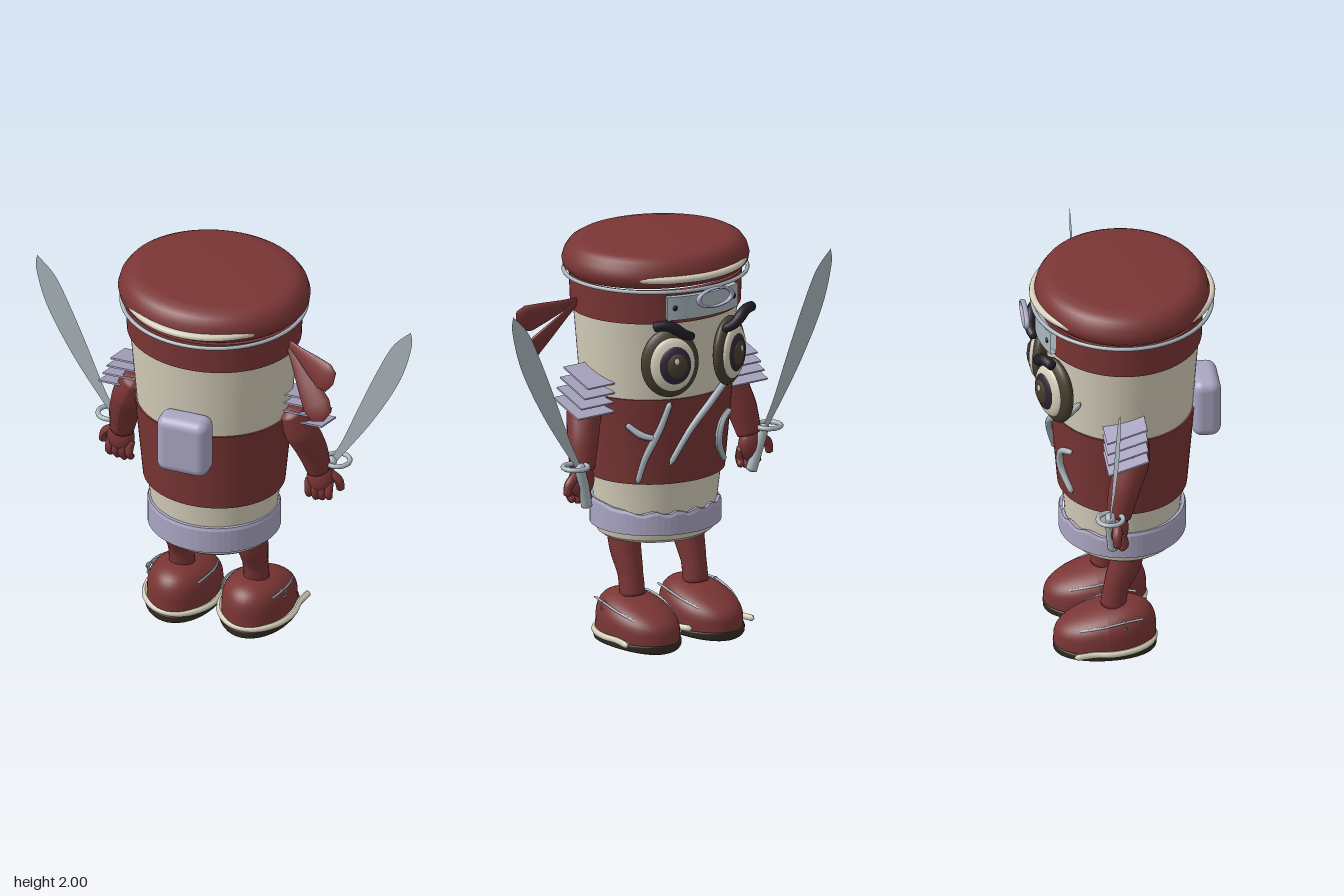
import * as THREE from 'three';
import { toCreasedNormals } from 'three/addons/utils/BufferGeometryUtils.js';
import { RoundedBoxGeometry } from 'three/addons/geometries/RoundedBoxGeometry.js';

const mat = (name, color, side = THREE.FrontSide) => {
  const m = new THREE.MeshStandardMaterial({ color, side });
  m.name = name;
  return m;
};
const red = mat('dark red', 0x7a3535);
const cream = mat('cream', 0xd6cfbb);
const lavender = mat('lavender', 0xa9a5c2);
const steel = mat('steel', 0xaab6bd, THREE.DoubleSide);
const brown = mat('olive brown', 0x463e30);
const sole = mat('sole brown', 0x332b22);
const purple = mat('dark purple', 0x2f2635);
const black = mat('brow black', 0x211e26);

const V = (x, y, z) => new THREE.Vector3(x, y, z);

function add(parent, name, geo, material, pos = [0, 0, 0], scale = [1, 1, 1]) {
  const m = new THREE.Mesh(geo, material);
  m.name = name;
  m.position.set(...pos);
  m.scale.set(...scale);
  parent.add(m);
  return m;
}

const lathe = (pts, start = 0, len = Math.PI * 2) => toCreasedNormals(
  new THREE.LatheGeometry(pts.map(p => new THREE.Vector2(...p)), 64, start, len), 0.6);

// Moves every vertex of a geometry by a rule
function shape(geo, rule) {
  const p = geo.attributes.position, v = V(0, 0, 0);
  for (let i = 0; i < p.count; i++) {
    rule(v.fromBufferAttribute(p, i));
    p.setXYZ(i, v.x, v.y, v.z);
  }
  geo.computeVertexNormals();
  return geo;
}

// Tapered tube with closed ends; radii are spread evenly along the path
function limb(points, radii, seg = 24, sides = 16) {
  const curve = new THREE.CatmullRomCurve3(points.map(p => V(...p)));
  const geo = new THREE.TubeGeometry(curve, seg, 1, sides);
  const p = geo.attributes.position, v = V(0, 0, 0);
  for (let i = 0; i <= seg; i++) {
    const c = curve.getPointAt(i / seg);
    const t = (i / seg) * (radii.length - 1), k = Math.min(Math.floor(t), radii.length - 2);
    const r = i === 0 || i === seg ? 0.0005 : THREE.MathUtils.lerp(radii[k], radii[k + 1], t - k);
    for (let j = 0; j <= sides; j++) {
      const n = i * (sides + 1) + j;
      v.fromBufferAttribute(p, n).sub(c).multiplyScalar(r).add(c);
      p.setXYZ(n, v.x, v.y, v.z);
    }
  }
  geo.computeVertexNormals();
  return geo;
}

const ball = () => new THREE.SphereGeometry(1, 32, 20);

function buildCup(g) {
  const cup = new THREE.Group();
  cup.name = 'cupBody';
  cup.position.z = 0.01;
  cup.scale.z = 0.9;
  g.add(cup);
  add(cup, 'cup', lathe([[0, 0.56], [0.22, 0.56], [0.235, 0.535], [0.27, 0.535], [0.29, 0.55], [0.3, 0.59],
    [0.31, 0.72], [0.325, 0.84], [0.375, 1.27], [0.41, 1.68]]), cream);
  add(cup, 'sleeve', lathe([[0.32, 0.845], [0.345, 0.845], [0.385, 1.275], [0.36, 1.275]]), red);
  add(cup, 'headband', lathe([[0.4, 1.665], [0.423, 1.665], [0.43, 1.83], [0.4, 1.83]]), red);
  add(cup, 'lid', lathe([[0.4, 1.835], [0.435, 1.845], [0.46, 1.87], [0.466, 1.9], [0.455, 1.94], [0.43, 1.975],
    [0.4, 1.992], [0.35, 2], [0, 2]]), red);
  // Belt with a worn top edge on the face side
  const belt = lathe([[0.3, 0.585], [0.322, 0.585], [0.322, 0.705], [0.316, 0.72], [0.3, 0.72]]);
  shape(belt, v => {
    if (v.y > 0.7 && v.z < -0.03) v.y -= 0.035 * Math.min(1, -v.z * 8) * (0.75 + 0.25 * Math.sin(v.x * 60));
  });
  add(cup, 'belt', belt, lavender, [0, 0, 0], [1, 1, 1.05]);
  const rim = new THREE.TorusGeometry(0.446, 0.01, 8, 72).rotateX(Math.PI / 2);
  add(cup, 'lidRim', rim, steel, [0, 1.835, 0], [1, 1, 1.07]);
  const stripe = new THREE.TorusGeometry(0.42, 0.018, 10, 72).rotateX(Math.PI / 2);
  add(cup, 'lidStripe', stripe, cream, [0, 1.892, 0], [1, 1, 1.13]);
  // Forehead plate wraps around the headband
  add(cup, 'foreheadPlate', lathe([[0.43, 1.69], [0.462, 1.69], [0.462, 1.805], [0.43, 1.805], [0.43, 1.69]],
    Math.PI - 0.48, 0.96), steel);
  for (const s of [-1, 1]) {
    add(cup, 'rivet', ball(), black, [s * 0.175, 1.75, -0.428], [0.013, 0.013, 0.008]);
  }
}

function buildFace(g, s) {
  const eye = new THREE.Group();
  eye.name = 'eye';
  eye.position.set(s * 0.178, 1.47, -0.335);
  eye.rotation.y = Math.PI - s * 0.45;
  g.add(eye);
  const layers = [['eyeRim', brown, 0.17, 0, 0.05], ['eyeWhite', cream, 0.133, 0.03, 0.034],
    ['iris', purple, 0.1, 0.042, 0.034], ['pupil', brown, 0.07, 0.054, 0.029]];
  layers.forEach(([name, m, r, z, d], i) =>
    add(eye, name, ball(), m, [s * 0.007 * i, 0, z], [r * 0.83, r, d]));
  add(eye, 'eyeGlint', ball(), cream, [s * 0.02, 0.025, 0.079], [0.012, 0.016, 0.006]);
  add(g, 'eyebrow', limb([[s * 0.09, 1.6, -0.4], [s * 0.15, 1.625, -0.415], [s * 0.23, 1.675, -0.395],
    [s * 0.3, 1.675, -0.36]], [0.02, 0.028, 0.024]), black);
}

function buildArm(g, s) {
  add(g, 'arm', limb([[s * 0.385, 1.32, 0.03], [s * 0.425, 1.22, 0.01], [s * 0.475, 1.07, -0.04],
    [s * 0.505, 0.92, -0.075]], [0.06, 0.084, 0.075, 0.058]), red);
  add(g, 'palm', ball(), red, [s * 0.51, 0.885, -0.075], [0.068, 0.085, 0.05]);
  for (let i = 0; i < 4; i++) {
    const x = 0.455 + i * 0.034, tip = 0.76 + Math.abs(i - 1.2) * 0.012;
    add(g, 'finger', limb([[s * x, 0.88, -0.07], [s * (x + 0.004), 0.81, -0.05], [s * (x - 0.002), tip, -0.075]],
      [0.022, 0.021, 0.016], 12, 10), red);
  }
  add(g, 'thumb', limb([[s * 0.54, 0.92, -0.08], [s * 0.595, 0.88, -0.09], [s * 0.61, 0.82, -0.09]],
    [0.025, 0.024, 0.018], 12, 10), red);

  // Curved sword held upright and outwards
  const blade = new THREE.Shape();
  blade.moveTo(s * 0.574, 0.96);
  blade.splineThru([[0.76, 1.236], [0.9, 1.5], [0.958, 1.7], [0.955, 1.785]].map(p => new THREE.Vector2(s * p[0], p[1])));
  blade.splineThru([[0.865, 1.69], [0.786, 1.53], [0.696, 1.316], [0.61, 1.1], [0.54, 0.96]]
    .map(p => new THREE.Vector2(s * p[0], p[1])));
  add(g, 'swordBlade', new THREE.ShapeGeometry(blade, 12), steel, [0, 0, -0.12]);
  add(g, 'swordGuard', new THREE.TorusGeometry(0.06, 0.012, 10, 32).rotateX(Math.PI / 2), steel, [s * 0.58, 0.972, -0.12]);
  add(g, 'swordHandle', limb([[s * 0.56, 0.985, -0.12], [s * 0.525, 0.87, -0.11], [s * 0.492, 0.75, -0.095]],
    [0.024, 0.026, 0.028]), steel);

  // Layered shoulder plates, higher towards the pack
  for (let i = 0; i < 4; i++) {
    const outer = 0.51 + i * 0.02;
    const plate = add(g, 'shoulderPlate', new THREE.BoxGeometry(outer - 0.35, 0.008, 0.205), lavender,
      [s * (outer + 0.35) / 2, 1.38 - i * 0.047, -0.03]);
    plate.rotation.x = -0.32;
  }
}

function buildLeg(g, s) {
  const cx = s * 0.19;
  add(g, 'leg', limb([[cx, 0.58, 0.02], [cx, 0.48, 0], [cx, 0.36, -0.04], [cx, 0.24, -0.06]],
    [0.082, 0.076, 0.062, 0.062]), red);
  const upper = shape(new THREE.SphereGeometry(1, 40, 28), v => {
    const up = Math.sign(v.y) * Math.sqrt(Math.abs(v.y));
    v.set(v.x * 0.172, 0.07 + (up > 0 ? up * (0.19 + 0.06 * v.z) : up * 0.02), -0.098 + v.z * 0.248);
  });
  add(g, 'shoe', upper, red, [cx, 0, 0]);
  const base = shape(new THREE.SphereGeometry(1, 40, 28), v => {
    const up = Math.sign(v.y) * Math.pow(Math.abs(v.y), 0.35);
    v.set(v.x * 0.184, 0.062 + (up > 0 ? up * 0.01 : up * 0.058 * (1 - 0.5 * v.x * v.x)), -0.098 + v.z * 0.25);
  });
  add(g, 'sole', base, sole, [cx, 0, 0]);
  // Welt runs round the heel and ends beside the toes
  const welt = [];
  for (let i = 0; i <= 14; i++) {
    const a = -0.6 + (i / 14) * (Math.PI + 1.2);
    welt.push([cx + Math.cos(a) * 0.183, 0.08, -0.095 + Math.sin(a) * 0.235]);
  }
  welt[s > 0 ? 0 : 14] = [s * 0.38, 0.08, -0.27];
  add(g, 'welt', limb(welt, [0.016, 0.016], 60, 8), cream);
  // Stitched lace along each side of the shoe
  for (const side of [-1, 1]) {
    add(g, 'lace', limb([[cx + side * 0.125, 0.235, 0.08], [cx + side * 0.145, 0.235, 0],
      [cx + side * 0.145, 0.21, -0.12], [cx + side * 0.115, 0.175, -0.24]], [0.006, 0.006], 20, 6), steel);
  }
  const loop = add(g, 'laceLoop', new THREE.TorusGeometry(0.022, 0.004, 6, 16), steel, [cx + s * 0.145, 0.215, -0.02]);
  loop.rotation.y = 0.3;
}

// Bent cords lying on the face side of the sleeve
function buildCords(g) {
  const onBody = ([x, y]) => {
    const r = 0.385 + (y - 1.275) * (y > 1.275 ? 0.06 : 0.093);
    return [x, y, 0.01 - 0.9 * Math.sqrt(Math.max(0.002, r * r - x * x)) - 0.015];
  };
  const cords = [
    [[-0.31, 1.47], [-0.24, 1.36], [-0.08, 1.25], [0.05, 1.12], [0.15, 0.94]],
    [[-0.24, 1.15], [-0.16, 1.11], [-0.14, 1.02], [-0.21, 0.9]],
    [[0.16, 1.27], [0.2, 1.13], [0.25, 0.98], [0.27, 0.85]],
    [[0.32, 1.15], [0.27, 1.1], [0.21, 1.08]],
  ];
  for (const c of cords) add(g, 'cord', limb(c.map(onBody), [0.014, 0.018, 0.014], 24, 10), steel);
}

// Two flattened cloth tails tied to the headband
function buildTails(g) {
  const knot = V(0.4, 1.73, 0.08);
  for (const [end, width] of [[V(0.685, 1.63, 0.215), 0.075], [V(0.645, 1.425, 0.235), 0.07]]) {
    const dir = end.clone().sub(knot), len = dir.length();
    const geo = new THREE.LatheGeometry([[0.0, 0], [0.25, 0.06], [0.4, 0.25], [0.75, 0.55], [1, 0.8], [0.8, 0.94], [0, 1]]
      .map(p => new THREE.Vector2(...p)), 24);
    const tail = add(g, 'headbandTail', geo, red, knot.toArray(), [width, len, 0.022]);
    const y = dir.normalize();
    const z = V(0.35, 0, 1).addScaledVector(y, -V(0.35, 0, 1).dot(y)).normalize();
    tail.quaternion.setFromRotationMatrix(new THREE.Matrix4().makeBasis(y.clone().cross(z), y, z));
  }
}

export function createModel() {
  const g = new THREE.Group();
  g.name = 'cupWarrior';
  buildCup(g);
  for (const s of [-1, 1]) {
    buildFace(g, s);
    buildArm(g, s);
    buildLeg(g, s);
  }
  buildCords(g);
  buildTails(g);
  add(g, 'backpack', new RoundedBoxGeometry(0.26, 0.305, 0.14, 5, 0.05), lavender, [0, 1.258, 0.405]);
  add(g, 'foreheadRing', new THREE.TorusGeometry(0.1, 0.013, 10, 40), lavender, [0, 1.795, -0.46], [1, 0.45, 1]);
  return g;
}
